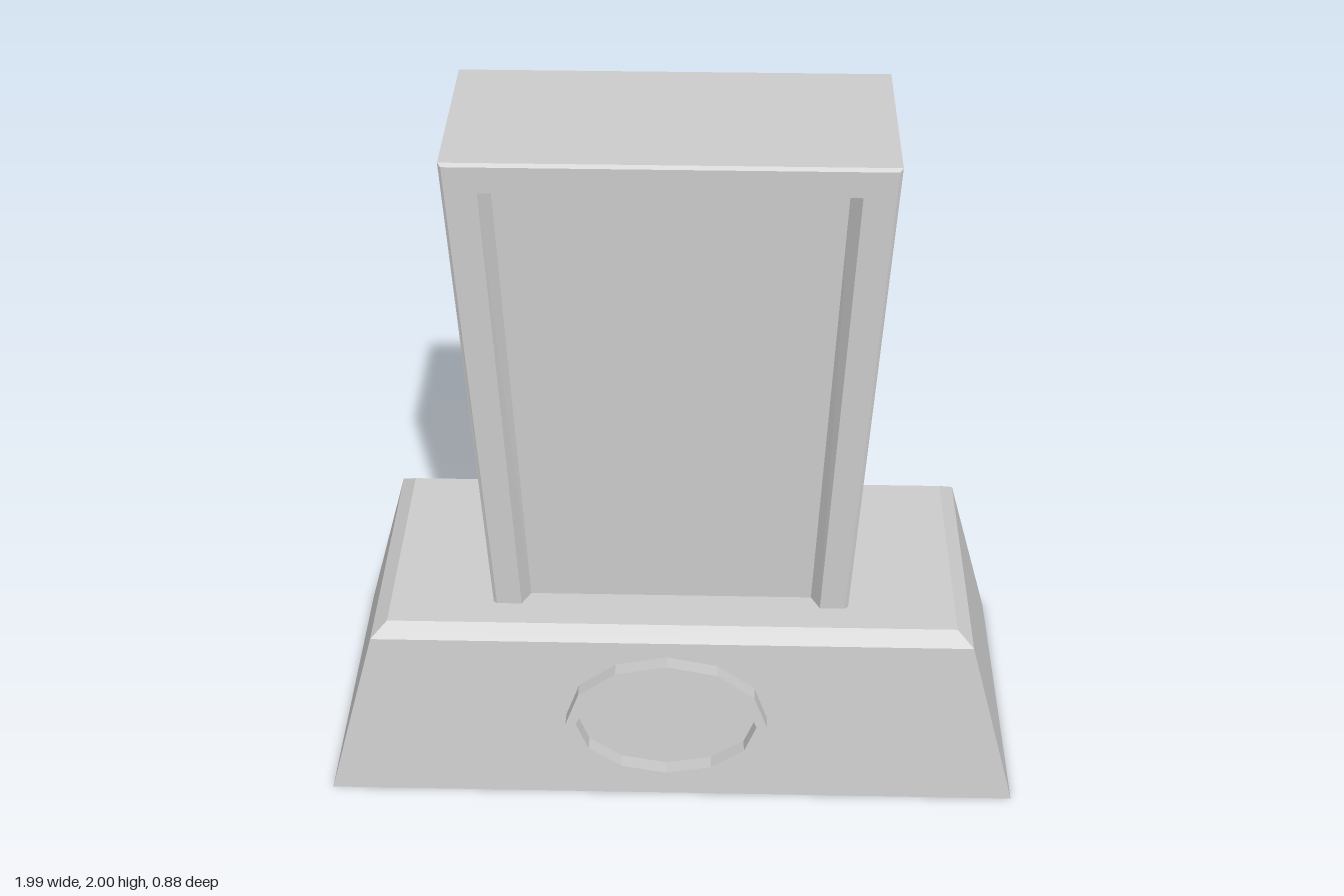
import * as THREE from 'three';

const material = new THREE.MeshStandardMaterial({ color: 0xcccccc, flatShading: true });

// Skin a series of equal-length point loops with flat quads; optionally cap both ends.
function loft(name, loops, capped) {
  const pos = [];
  const tri = (...pts) => pts.forEach((p) => pos.push(...p));
  for (let k = 0; k < loops.length - 1; k++) {
    const a = loops[k], b = loops[k + 1];
    for (let i = 0; i < a.length; i++) {
      const j = (i + 1) % a.length;
      tri(a[i], a[j], b[j]);
      tri(a[i], b[j], b[i]);
    }
  }
  if (capped) {
    const s = loops[0], e = loops[loops.length - 1];
    for (let i = 1; i < s.length - 1; i++) {
      tri(s[0], s[i + 1], s[i]);
      tri(e[0], e[i], e[i + 1]);
    }
  }
  const geo = new THREE.BufferGeometry();
  geo.setAttribute('position', new THREE.Float32BufferAttribute(pos, 3));
  geo.computeVertexNormals();
  const mesh = new THREE.Mesh(geo, material);
  mesh.name = name;
  return mesh;
}

// Horizontal rectangle of the plinth
const plinthLoop = (hx, hz, y) =>
  [[-1, 1], [1, 1], [1, -1], [-1, -1]].map(([sx, sz]) => [sx * hx - 0.005, y, sz * hz - 0.02]);

// Upright trapezoid of the slab; both faces lean out slightly towards the top
const FOOT = 0.56;
function slabLoop(side, halfBottom, halfTop, top, depth) {
  const lean = 0.01 * (top - FOOT) / (2 - FOOT);
  const zB = -0.02 + side * depth, zT = -0.02 + side * (depth + lean);
  return [
    [-0.01 - halfBottom, FOOT, zB], [-0.01 + halfBottom, FOOT, zB],
    [-0.01 + halfTop, top, zT], [-0.01 - halfTop, top, zT],
  ];
}

export function createModel() {
  const model = new THREE.Group();

  // Tapered plinth with a chamfered top edge
  model.add(loft('plinth', [
    plinthLoop(0.995, 0.42, 0),
    plinthLoop(0.845, 0.36, 0.54),
    plinthLoop(0.8, 0.32, 0.575),
  ], true));

  // Slab flaring upwards, edges bevelled, with a recessed panel front and back
  const section = [
    [0.398, 0.44, 1.9, 0.195],   // panel floor
    [0.422, 0.468, 1.92, 0.24],  // panel opening
    [0.492, 0.552, 1.992, 0.24], // frame face
    [0.502, 0.56, 2, 0.232],     // bevelled edge
  ];
  model.add(loft('slab', [
    ...section.map((s) => slabLoop(-1, ...s)),
    ...section.slice().reverse().map((s) => slabLoop(1, ...s)),
  ], true));

  // Twelve-sided oval ring lying on the sloping front of the plinth
  const ringLoop = (rx, ry, z) => Array.from({ length: 12 }, (_, i) => {
    const a = (i / 12) * Math.PI * 2;
    return [rx * Math.cos(a), ry * Math.sin(a), z];
  });
  const ring = loft('ovalRing', [
    ringLoop(0.287, 0.21, -0.01),
    ringLoop(0.287, 0.21, 0.046),
    ringLoop(0.257, 0.172, 0.046),
    ringLoop(0.257, 0.172, -0.01),
  ], false);
  ring.position.set(-0.018, 0.285, 0.368);
  ring.rotation.x = -Math.atan(0.06 / 0.54);
  model.add(ring);

  return model;
}
